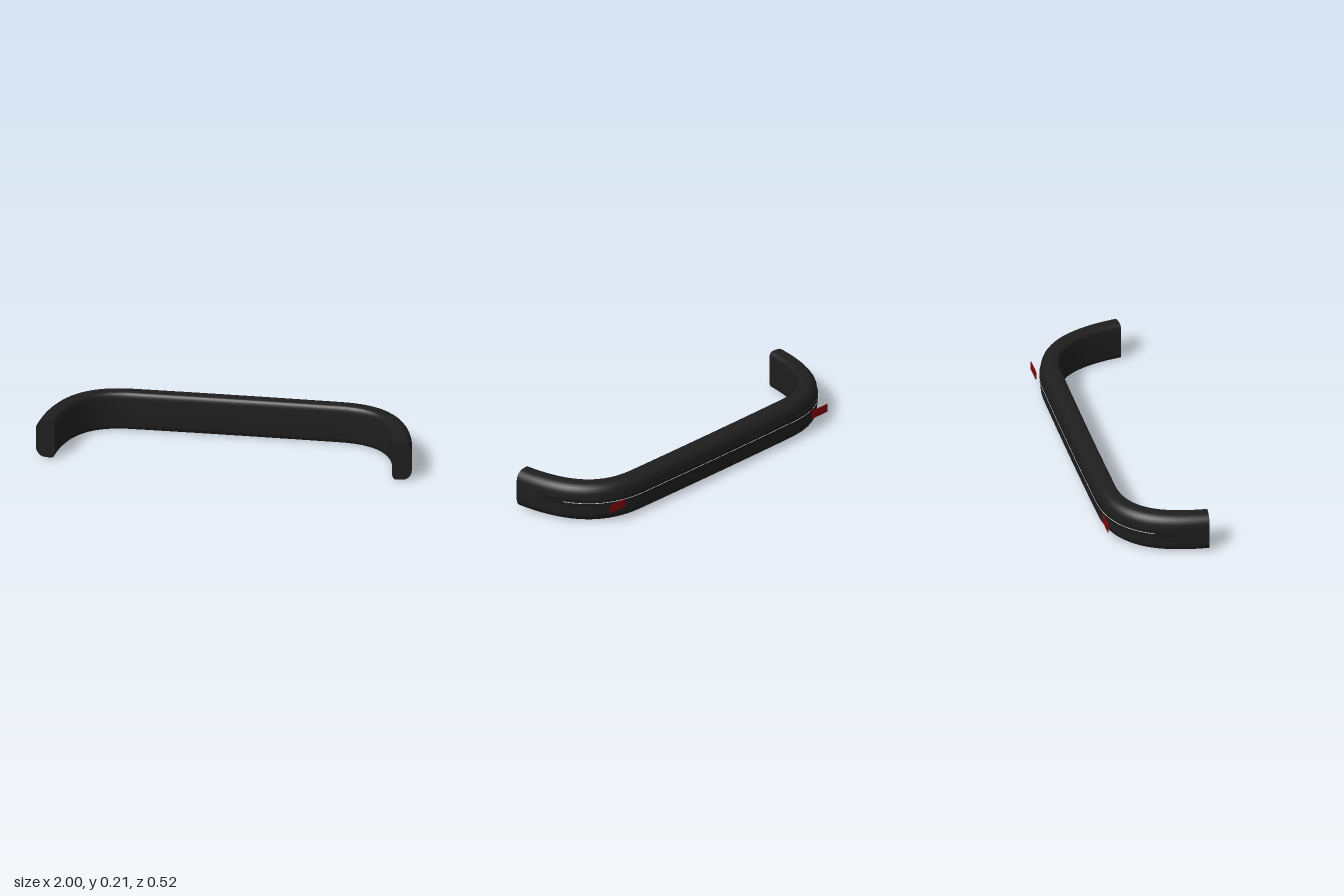
import * as THREE from 'three';
import { toCreasedNormals } from 'three/addons/utils/BufferGeometryUtils.js';

const material = (name, color) => {
  const m = new THREE.MeshStandardMaterial({ color });
  m.name = name;
  return m;
};

// Centreline seen from above: side arm, bend, slightly crowned back, then mirrored.
const bend = new THREE.CubicBezierCurve(
  new THREE.Vector2(0.948, 0.255), new THREE.Vector2(0.92, -0.03),
  new THREE.Vector2(0.81, -0.197), new THREE.Vector2(0.55, -0.197));

function centreline(start) {
  const half = [];
  for (let i = 0; i <= 28; i++) half.push(bend.getPoint(start + (1 - start) * i / 28));
  for (let i = 1; i <= 5; i++) {
    const x = 0.55 * (1 - i / 5);
    half.push(new THREE.Vector2(x, -0.197 - 0.003 * (1 - (x / 0.55) ** 2)));
  }
  const other = half.slice(0, -1).reverse().map(p => new THREE.Vector2(-p.x, p.y));
  return half.concat(other);
}

// Sweeps a counter-clockwise section of [outward offset, height] along the centreline.
function sweep(section, start) {
  const path = centreline(start);
  const rings = path.map((p, i) => {
    const t = path[Math.min(i + 1, path.length - 1)].clone()
      .sub(path[Math.max(i - 1, 0)]).normalize();
    return section.map(([n, y]) => [p.x - t.y * n, y, p.y + t.x * n]);
  });
  const pos = [];
  const tri = (a, b, c) => pos.push(...a, ...b, ...c);
  const count = section.length;
  for (let i = 0; i < rings.length - 1; i++) {
    for (let j = 0; j < count; j++) {
      const k = (j + 1) % count, r = rings[i], s = rings[i + 1];
      tri(r[j], s[j], r[k]);
      tri(s[j], s[k], r[k]);
    }
  }
  // End caps
  const first = rings[0], last = rings[rings.length - 1];
  for (let j = 1; j < count - 1; j++) {
    tri(first[0], first[j], first[j + 1]);
    tri(last[0], last[j + 1], last[j]);
  }
  const g = new THREE.BufferGeometry();
  g.setAttribute('position', new THREE.Float32BufferAttribute(pos, 3));
  return toCreasedNormals(g, 0.6);
}

// Rectangle with elliptical corners, larger on the outer side.
function roundedSection(n0, n1, y0, y1, inner, outer) {
  const corners = [
    [n1, y0, outer, 1, -1], [n1, y1, outer, 1, 1],
    [n0, y1, inner, -1, 1], [n0, y0, inner, -1, -1]];
  const pts = [];
  corners.forEach(([n, y, [rn, ry], sn, sy], c) => {
    for (let i = 0; i <= 6; i++) {
      const a = (c - 1 + i / 6) * Math.PI / 2;
      pts.push([n - sn * rn + rn * Math.cos(a), y - sy * ry + ry * Math.sin(a)]);
    }
  });
  return pts;
}

const box = (n0, n1, y0, y1) => [[n0, y0], [n1, y0], [n1, y1], [n0, y1]];

export function createModel() {
  const group = new THREE.Group();
  group.name = 'bumper';
  const black = material('bumper black', 0x1e1e1e);
  const trimBlack = material('trim black', 0x191919);
  const silver = material('pinstripe silver', 0xd8d8d8);
  const red = material('reflector red', 0x800606);

  const add = (name, geometry, mat) => {
    const mesh = new THREE.Mesh(geometry, mat);
    mesh.name = name;
    group.add(mesh);
    return mesh;
  };

  add('bumperBar', sweep(roundedSection(-0.052, 0.052, 0, 0.212, [0.02, 0.035], [0.05, 0.055]), 0), black);
  add('rubbingStrip', sweep(box(0.04, 0.057, 0.097, 0.135), 0.2), trimBlack);
  add('pinstripe', sweep(box(0.05, 0.0585, 0.1145, 0.1175), 0.36), silver);

  // Thin reflector plates at the two rear corners
  for (const side of [1, -1]) {
    const plate = add(side > 0 ? 'leftReflector' : 'rightReflector',
      new THREE.BoxGeometry(0.11, 0.044, 0.005), red);
    plate.position.set(side * 0.755, 0.104, -0.2525);
  }
  return group;
}
